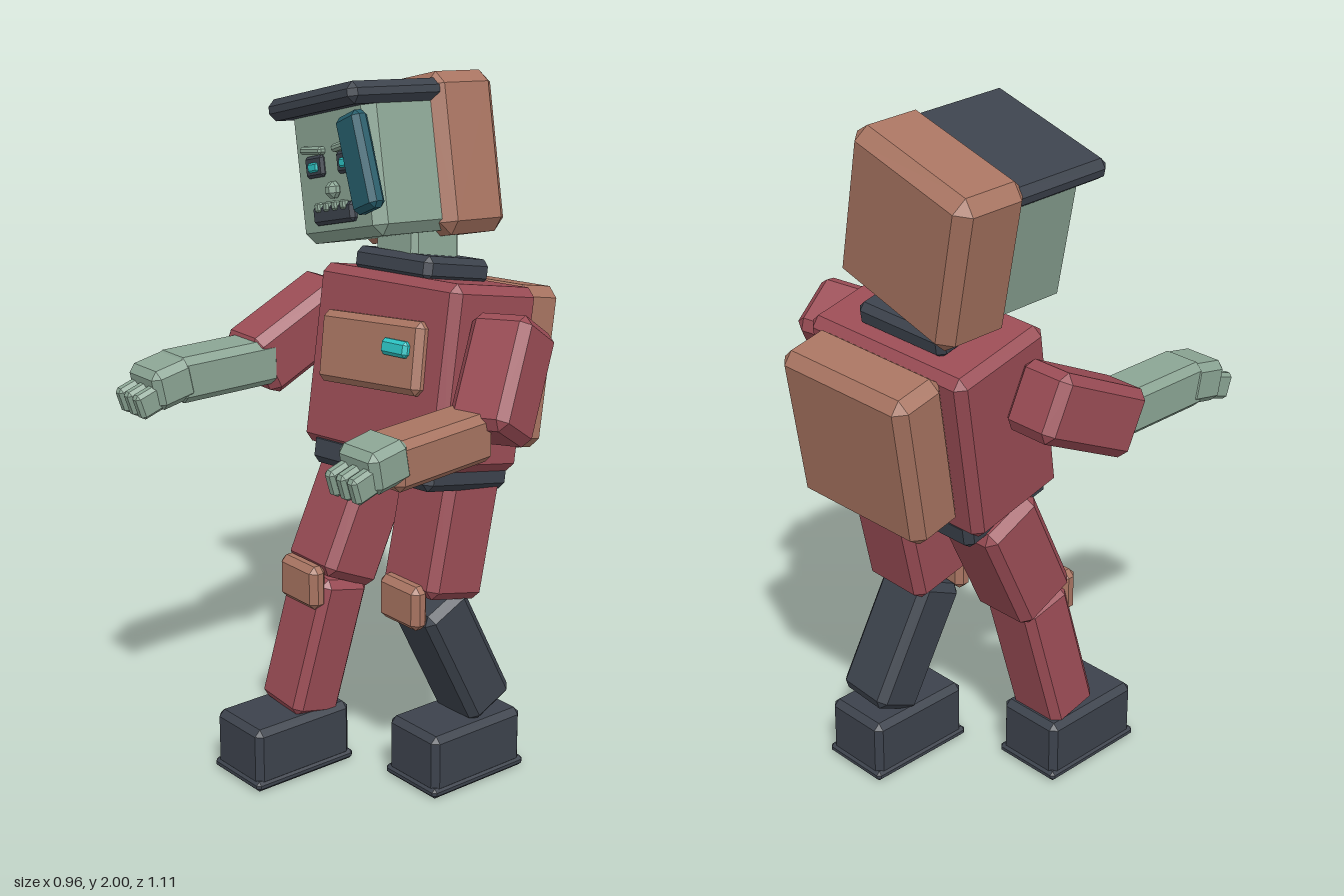
import * as THREE from 'three';
import { ConvexGeometry } from 'three/addons/geometries/ConvexGeometry.js';

function material(name, color) {
  const m = new THREE.MeshStandardMaterial({ color });
  m.name = name;
  return m;
}

// Box with a single flat bevel on every edge
function bevelBox(w, h, d, b) {
  const pts = [];
  const x = w / 2, y = h / 2, z = d / 2;
  for (const sx of [-1, 1]) for (const sy of [-1, 1]) for (const sz of [-1, 1]) {
    pts.push(new THREE.Vector3(sx * x, sy * (y - b), sz * (z - b)));
    pts.push(new THREE.Vector3(sx * (x - b), sy * y, sz * (z - b)));
    pts.push(new THREE.Vector3(sx * (x - b), sy * (y - b), sz * z));
  }
  return new ConvexGeometry(pts);
}

function place(obj, name, pos, rot = [0, 0, 0]) {
  obj.name = name;
  obj.position.set(...pos);
  obj.rotation.set(rot[0], rot[1], rot[2], 'YXZ');
  return obj;
}

function block(parent, name, mat, size, pos, rot, bevel = 0.02) {
  const mesh = new THREE.Mesh(bevelBox(...size, bevel), mat);
  parent.add(place(mesh, name, pos, rot));
  return mesh;
}

function group(parent, name, pos, rot) {
  const g = place(new THREE.Group(), name, pos, rot);
  parent.add(g);
  return g;
}

export function createModel() {
  const root = new THREE.Group();
  root.name = 'blockFigure';
  const red = material('clothRed', 0x9a4c55);
  const tan = material('leatherTan', 0xa87461);
  const green = material('skinGreen', 0x8ba594);
  const dark = material('darkSlate', 0x3c424c);
  const teal = material('teal', 0x265d6b);
  const cyan = material('glowCyan', 0x2cc4c4);

  // Torso with everything strapped to it
  const torso = group(root, 'torsoGroup', [-0.015, 1.19, -0.19], [-0.2, 0.055, 0.055]);
  block(torso, 'torso', red, [0.55, 0.51, 0.33], [0, 0, 0], [0, 0, 0], 0.025);
  block(torso, 'backpack', tan, [0.44, 0.46, 0.17], [0, 0.027, -0.24], [0, 0, 0], 0.03);
  block(torso, 'chestPlate', tan, [0.4, 0.2, 0.05], [-0.01, 0.035, 0.17], [0, 0, 0.04], 0.018);
  block(torso, 'chestLight', cyan, [0.1, 0.045, 0.03], [0.105, 0.062, 0.198], [0, 0, 0], 0.01);
  block(torso, 'belt', dark, [0.48, 0.09, 0.32], [0.008, -0.265, 0], [0, 0, 0], 0.02);
  block(torso, 'buckle', green, [0.11, 0.06, 0.04], [0.058, -0.26, 0.165], [0, 0, 0], 0.012);
  block(torso, 'collar', dark, [0.3, 0.07, 0.25], [-0.01, 0.28, 0.02], [0, 0, 0], 0.018);

  // Neck and head
  block(root, 'neck', green, [0.17, 0.14, 0.17], [-0.05, 1.54, -0.215], [-0.1, 0, 0.12], 0.015);
  const head = group(root, 'headGroup', [-0.15, 1.73, -0.19], [-0.05, -0.06, 0.245]);
  block(head, 'face', green, [0.38, 0.39, 0.31], [0, 0.005, 0.03], [0, 0, 0], 0.03);
  block(head, 'backOfHead', tan, [0.44, 0.44, 0.22], [0, 0.015, -0.13], [0, 0, 0], 0.035);
  block(head, 'brim', dark, [0.42, 0.06, 0.32], [0, 0.187, 0.085], [0, 0, 0], 0.02);
  block(head, 'cheekPlate', teal, [0.105, 0.265, 0.05], [0.153, 0.008, 0.2], [0, 0, 0.17], 0.015);
  for (const s of [-1, 1]) {
    block(head, 'eyeSocket', dark, [0.085, 0.06, 0.02], [s * 0.075, 0.018, 0.186], [0, 0, 0], 0.008);
    block(head, 'eye', cyan, [0.046, 0.026, 0.016], [s * 0.075, 0.016, 0.194], [0, 0, 0], 0.005);
    block(head, 'brow', green, [0.1, 0.022, 0.03], [s * 0.075, 0.062, 0.19], [0, 0, s * 0.1], 0.007);
  }
  block(head, 'nose', green, [0.045, 0.045, 0.04], [0.008, -0.052, 0.195], [0, 0, 0], 0.014);
  block(head, 'mouth', dark, [0.19, 0.055, 0.03], [0, -0.115, 0.188], [0, 0, 0], 0.01);
  for (let i = 0; i < 4; i++) {
    block(head, 'tooth', green, [0.024, 0.026, 0.02], [-0.06 + i * 0.04, -0.094, 0.2], [0, 0, 0], 0.005);
  }

  // Hand pointing along +z, with three fingers
  function addHand(name, pos, rot) {
    const hand = group(root, name, pos, rot);
    block(hand, 'palm', green, [0.148, 0.115, 0.13], [0, 0, 0], [0, 0, 0], 0.02);
    for (let i = -1; i <= 1; i++) {
      block(hand, 'finger', green, [0.036, 0.075, 0.1], [i * 0.042, -0.02, 0.07], [0.12, 0, 0], 0.01);
    }
  }

  // Arms
  block(root, 'rightUpperArm', red, [0.17, 0.35, 0.19], [-0.385, 1.24, -0.035], [-1.12, 0, -0.02], 0.025);
  block(root, 'rightForearm', green, [0.142, 0.34, 0.13], [-0.373, 1.185, 0.24], [-1.57, 0, 0], 0.02);
  addHand('rightHand', [-0.373, 1.18, 0.425], [0.2, 0, 0]);
  block(root, 'leftUpperArm', red, [0.18, 0.32, 0.185], [0.36, 1.24, -0.16], [-0.57, 0.25, 0.1], 0.025);
  block(root, 'leftForearm', tan, [0.142, 0.35, 0.135], [0.38, 1.115, 0.11], [-1.54, 0.07, 0], 0.02);
  addHand('leftHand', [0.392, 1.12, 0.3], [0.18, 0.04, 0]);

  // Legs
  block(root, 'rightThigh', red, [0.21, 0.37, 0.2], [-0.162, 0.74, -0.065], [-0.43, 0, -0.01], 0.025);
  block(root, 'rightShin', red, [0.185, 0.42, 0.165], [-0.178, 0.375, 0.06], [-0.23, 0, -0.08], 0.022);
  block(root, 'leftThigh', red, [0.225, 0.37, 0.205], [0.125, 0.755, -0.162], [-0.23, 0, 0.03], 0.025);
  block(root, 'leftShin', dark, [0.182, 0.4, 0.16], [0.14, 0.38, -0.19], [0.45, 0, 0.05], 0.022);
  block(root, 'rightKneePad', tan, [0.165, 0.13, 0.055], [-0.165, 0.57, 0.108], [0, 0, 0], 0.018);
  block(root, 'leftKneePad', tan, [0.165, 0.13, 0.055], [0.13, 0.57, -0.018], [0, 0, 0], 0.018);

  // Boots with a slightly wider sole
  for (const [name, x, z] of [['rightBoot', -0.194, 0.163], ['leftBoot', 0.154, -0.197]]) {
    const boot = group(root, name, [x, 0, z]);
    block(boot, 'bootUpper', dark, [0.21, 0.175, 0.335], [0, 0.0975, 0], [0, 0, 0], 0.018);
    block(boot, 'sole', dark, [0.22, 0.03, 0.348], [0, 0.015, 0], [0, 0, 0], 0.01);
  }
  return root;
}
